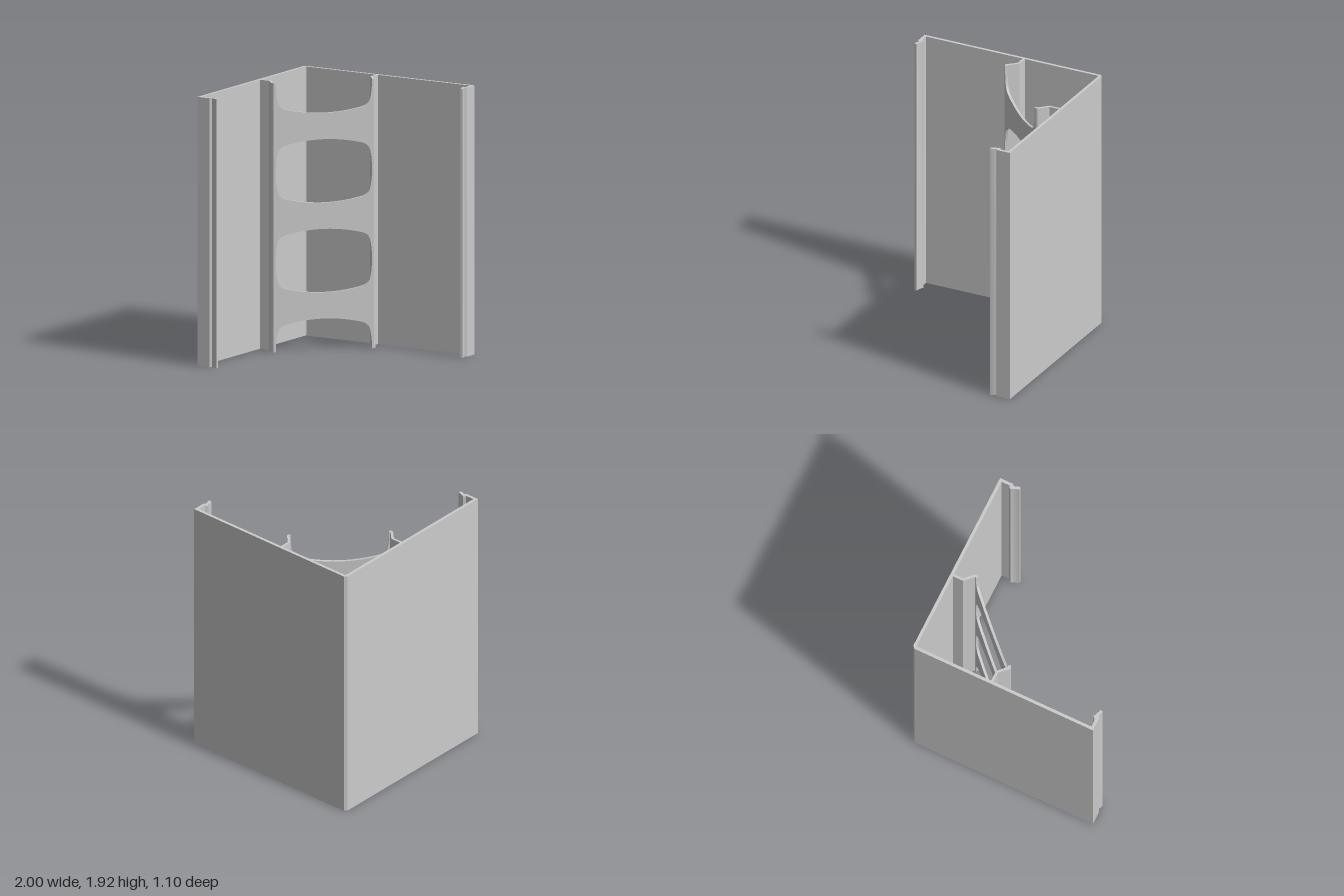
import * as THREE from 'three';
import { toCreasedNormals } from 'three/addons/utils/BufferGeometryUtils.js';

const H = 1.925;

// Closed outline of constant thickness around an open centre line, mitred at the bends
function stripShape(line, t) {
  const p = line.map(([x, z]) => new THREE.Vector2(x, z));
  const normal = (a, b) => new THREE.Vector2(a.y - b.y, b.x - a.x).normalize();
  const left = [], right = [];
  p.forEach((q, i) => {
    const n0 = i > 0 ? normal(p[i - 1], q) : normal(q, p[i + 1]);
    const n1 = i < p.length - 1 ? normal(q, p[i + 1]) : n0;
    const m = n0.clone().add(n1).normalize();
    m.multiplyScalar(t / 2 / m.dot(n0));
    left.push(q.clone().add(m));
    right.unshift(q.clone().sub(m));
  });
  return new THREE.Shape([...left, ...right]);
}

// Full-height wall following a centre line in plan (x, z)
function wall(line, t) {
  const g = new THREE.ExtrudeGeometry(stripShape(line, t), { depth: H, bevelEnabled: false });
  g.rotateX(Math.PI / 2).translate(0, H, 0);
  return toCreasedNormals(g, 0.6);
}

// Upper half of the bulged window, from right to left
function windowArc() {
  const quarter = new THREE.Path()
    .moveTo(0.347, 0)
    .quadraticCurveTo(0.347, 0.07, 0.336, 0.125)
    .bezierCurveTo(0.327, 0.17, 0.305, 0.187, 0.262, 0.196)
    .quadraticCurveTo(0.13, 0.227, 0, 0.227)
    .getPoints(10);
  const mirrored = quarter.slice(0, -1).reverse().map(v => new THREE.Vector2(-v.x, v.y));
  return [...quarter, ...mirrored];
}

export function createModel() {
  const group = new THREE.Group();
  const material = new THREE.MeshStandardMaterial({ color: 0xcccccc });
  const add = (name, geometry) => {
    const mesh = new THREE.Mesh(geometry, material);
    mesh.name = name;
    group.add(mesh);
  };

  // V-shaped outer angle with inward lips
  const half = [[0.008, -0.539], [0.984, 0.437], [0.924, 0.497], [0.905, 0.497]];
  const flip = line => line.map(([x, z]) => [-x, z]);
  add('cornerAngle', wall([...flip(half).reverse(), ...half], 0.022));

  // Hooks on the lips and cranked brackets holding the ladder plate
  const hook = [[0.907, 0.476], [0.908, 0.488], [0.886, 0.535], [0.88, 0.543]];
  const bracket = [[0.426, -0.118], [0.365, -0.057], [0.365, 0.032], [0.358, 0.04], [0.351, 0.04]];
  for (const [side, f] of [['left', l => l], ['right', flip]]) {
    add(side + 'Hook', wall(f(hook), 0.02));
    add(side + 'Bracket', wall(f(bracket), 0.018));
  }

  // Ladder plate: half windows at both ends, two full windows between
  const arc = windowArc();
  const w = 0.357;
  const at = (x, y) => new THREE.Vector2(x, y);
  const plate = new THREE.Shape([
    at(-w, 0), ...arc.map(v => at(-v.x, v.y)), at(w, 0),
    at(w, H), ...arc.map(v => at(v.x, H - v.y)), at(-w, H),
  ]);
  for (const cy of [H / 3, (2 * H) / 3]) {
    plate.holes.push(new THREE.Path([
      ...arc.map(v => at(v.x, cy + v.y)),
      ...arc.slice(1, -1).map(v => at(-v.x, cy - v.y)),
    ]));
  }
  const plateGeo = new THREE.ExtrudeGeometry(plate, { depth: 0.018, bevelEnabled: false });
  plateGeo.translate(0, 0, 0.031);
  add('ladderPlate', toCreasedNormals(plateGeo, 0.6));

  return group;
}
